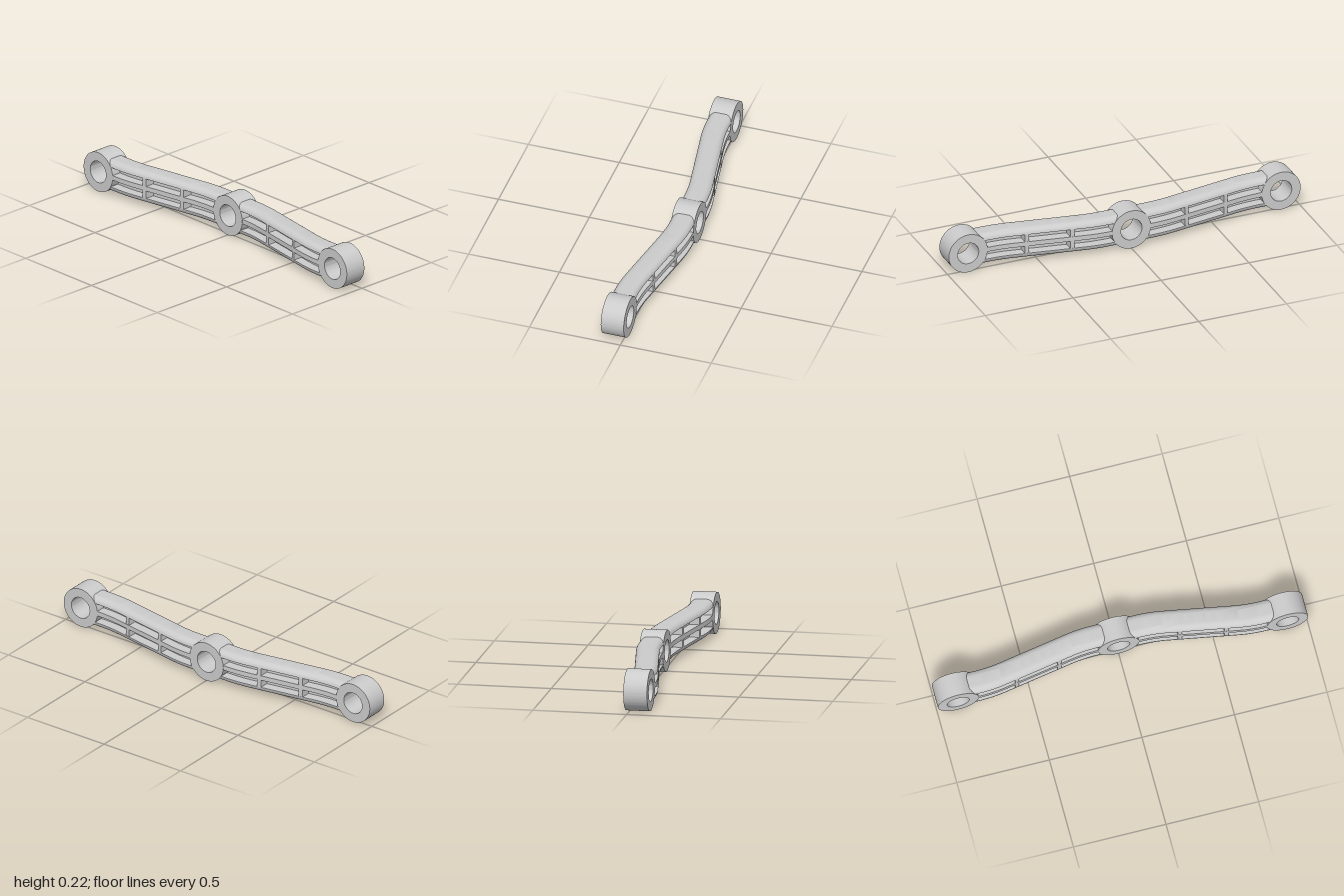
import * as THREE from 'three';
import { toCreasedNormals } from 'three/addons/utils/BufferGeometryUtils.js';

const MID_Y = 0.11;      // height of the bore axes
const HUB_R = 0.11, BORE_R = 0.06, HUB_DEPTH = 0.126;
const HUB_X = 0.89, OFFSET = 0.045;
const ARM_START = 0.063, ARM_END = HUB_X - 0.063;
const HALF_DEPTH = 0.0625, WEB = 0.01;
const POCKET_TOP = 0.055, POCKET_LOW = 0.013;

export function createModel() {
  const group = new THREE.Group();
  const material = new THREE.MeshStandardMaterial({ color: 0xcccccc });

  const add = (name, geometry) => {
    const mesh = new THREE.Mesh(toCreasedNormals(geometry, 0.5), material);
    mesh.name = name;
    mesh.position.y = MID_Y;
    group.add(mesh);
  };

  // Arm centre line: level at both hubs, sloped between, with eased transitions
  const ramp = (x, a, b) =>
    x < a ? 0 : x < b ? (x - a) ** 2 / (2 * (b - a)) : x - (a + b) / 2;
  const centreZ = (x) =>
    -OFFSET + (2 * OFFSET / 0.51) * (ramp(x, 0.12, 0.26) - ramp(x, 0.63, 0.77));
  const bend = (geometry) => {
    const p = geometry.attributes.position;
    for (let i = 0; i < p.count; i++) p.setZ(i, p.getZ(i) + centreZ(Math.abs(p.getX(i))));
    return geometry;
  };

  // Hubs with through bores
  const hub = (name, x, z) => {
    const ring = new THREE.Shape().absarc(0, 0, HUB_R, 0, Math.PI * 2);
    ring.holes.push(new THREE.Path().absarc(0, 0, BORE_R, 0, Math.PI * 2, true));
    const geometry = new THREE.ExtrudeGeometry(ring, {
      depth: HUB_DEPTH, bevelEnabled: false, curveSegments: 64,
    });
    add(name, geometry.translate(x, 0, z - HUB_DEPTH / 2));
  };
  hub('middleHub', 0, -OFFSET);
  hub('leftHub', HUB_X, OFFSET);
  hub('rightHub', -HUB_X, OFFSET);

  // Arm section: rounded outside, two pockets on each face, thin central web
  const section = () => {
    const h = HALF_DEPTH, rx = 0.038, ry = 0.032, t = WEB, a = POCKET_TOP, b = POCKET_LOW;
    const s = new THREE.Shape();
    s.moveTo(-h, a);
    s.absellipse(-h + rx, a, rx, ry, Math.PI, Math.PI / 2, true);
    s.absellipse(h - rx, a, rx, ry, Math.PI / 2, 0, true);
    for (const [x, y] of [[t, a], [t, b], [h, b], [h, -b], [t, -b], [t, -a], [h, -a]]) s.lineTo(x, y);
    s.absellipse(h - rx, -a, rx, ry, 0, -Math.PI / 2, true);
    s.absellipse(-h + rx, -a, rx, ry, -Math.PI / 2, -Math.PI, true);
    for (const [x, y] of [[-t, -a], [-t, -b], [-h, -b], [-h, b], [-t, b], [-t, a]]) s.lineTo(x, y);
    s.closePath();
    return s;
  };

  for (const [side, sign] of [['left', 1], ['right', -1]]) {
    const arm = new THREE.ExtrudeGeometry(section(), {
      depth: ARM_END - ARM_START, steps: 60, bevelEnabled: false, curveSegments: 12,
    });
    arm.rotateY(Math.PI / 2).translate(sign > 0 ? ARM_START : -ARM_END, 0, 0);
    add(side + 'Arm', bend(arm));

    // Cross ribs dividing the pockets
    for (const x of [0.325, 0.565]) {
      const rib = new THREE.BoxGeometry(0.022, POCKET_TOP * 2 + 0.004, HALF_DEPTH * 2 - 0.001);
      add(side + 'CrossRib', bend(rib.translate(sign * x, 0, 0)));
    }
  }

  return group;
}
